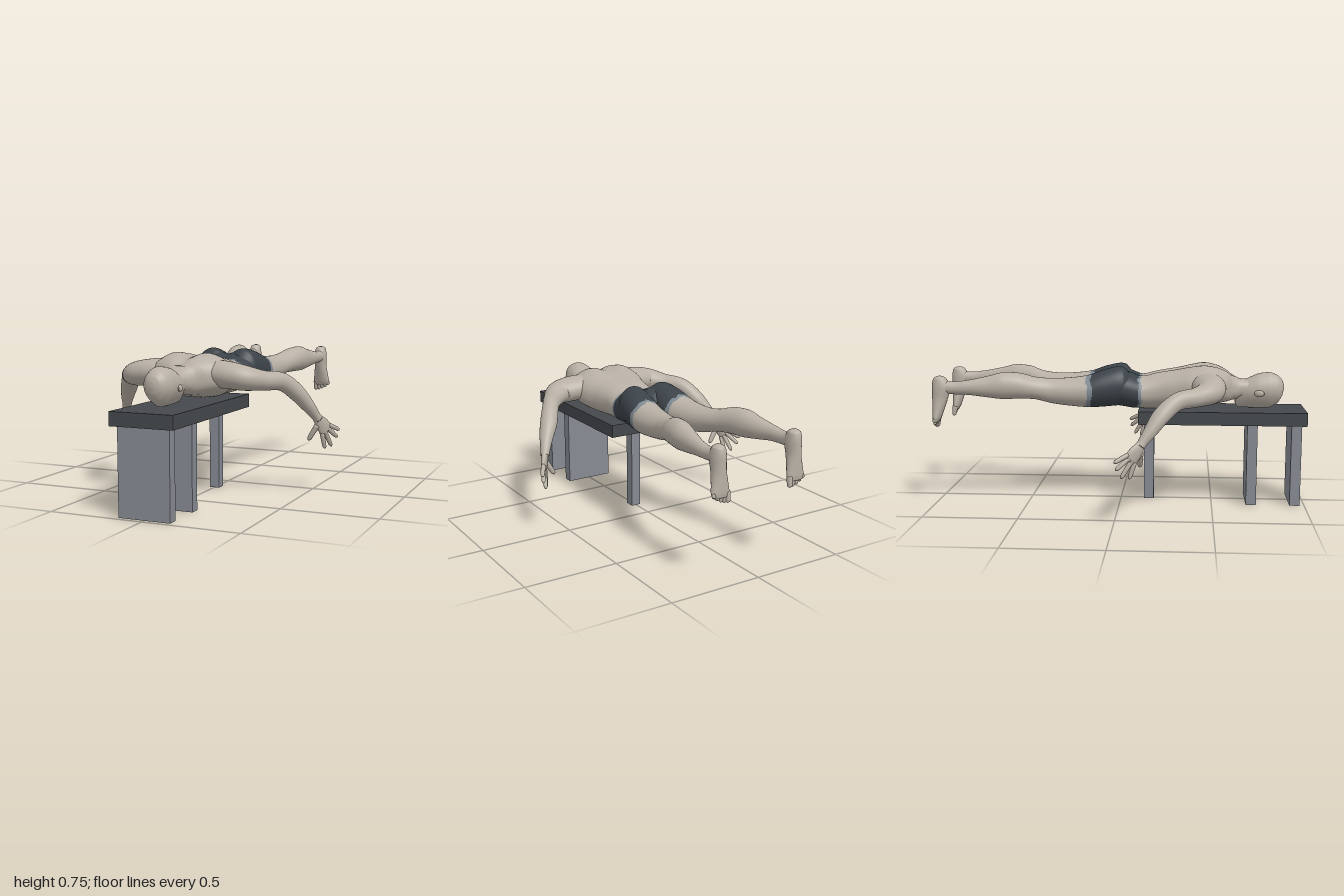
import * as THREE from 'three';

const mat = (name, color) => Object.assign(new THREE.MeshStandardMaterial({ color }), { name });
const V = (a) => new THREE.Vector3(...a);
const AXIS = [0, 0, -1];

// Smooth closed tube through sections [x, y, z, sideRadius, upRadius].
function loft(name, sections, mats, o = {}) {
  const { side = [1, 0, 0], axis, power = 2, seg = 32, steps = 8, shape, pick, mirror } = o;
  const centre = new THREE.CatmullRomCurve3(sections.map((s) => V(s)));
  const radii = new THREE.CatmullRomCurve3(sections.map((s) => new THREE.Vector3(s[3], s[4], 0)));
  const rings = (sections.length - 1) * steps;
  const pos = [], lists = mats.map(() => []);
  const soft = (v) => Math.sign(v) * Math.pow(Math.abs(v), 2 / power);
  for (let i = 0; i <= rings; i++) {
    const t = i / rings, c = centre.getPoint(t), r = radii.getPoint(t);
    const T = axis ? V(axis) : centre.getTangent(t);
    const S = V(side).addScaledVector(T, -V(side).dot(T)).normalize();
    const U = T.clone().cross(S);
    for (let j = 0; j < seg; j++) {
      const a = (j / seg) * Math.PI * 2;
      const p = c.clone().addScaledVector(S, soft(Math.cos(a)) * r.x).addScaledVector(U, soft(Math.sin(a)) * r.y);
      if (shape) shape(p, c);
      pos.push(p);
    }
  }
  const first = pos.push(centre.getPoint(0)) - 1, last = pos.push(centre.getPoint(1)) - 1;
  const tri = (a, b, c) => {
    const mid = pos[a].clone().add(pos[b]).add(pos[c]).divideScalar(3);
    lists[pick ? pick(mid) : 0].push(...(mirror ? [a, c, b] : [a, b, c]));
  };
  for (let j = 0; j < seg; j++) {
    const k = (j + 1) % seg, e = rings * seg;
    tri(first, k, j);
    tri(last, e + j, e + k);
    for (let i = 0; i < rings; i++) {
      const a = i * seg + j, b = i * seg + k;
      tri(a, b, a + seg);
      tri(b, b + seg, a + seg);
    }
  }
  const g = new THREE.BufferGeometry();
  if (mirror) pos.forEach((p) => { p.x *= -1; });
  g.setFromPoints(pos);
  g.setIndex(lists.flat());
  let start = 0;
  lists.forEach((l, m) => { g.addGroup(start, l.length, m); start += l.length; });
  g.computeVertexNormals();
  const mesh = new THREE.Mesh(g, mats.length > 1 ? mats : mats[0]);
  mesh.name = name;
  return mesh;
}

// Rounded finger or toe between two points
function digit(name, from, to, r, skin, mirror) {
  const a = V(from), b = V(to);
  const row = (t, k) => [...a.clone().lerp(b, t).toArray(), r * k, r * k];
  return loft(name, [row(0, 1), row(0.5, 0.95), row(0.88, 0.8), row(1, 0.25)], [skin],
    { side: [1, 0.1, 0.6], seg: 12, steps: 4, mirror });
}

export function createModel() {
  const model = new THREE.Group();
  model.name = 'figureOnBench';
  const skin = mat('skin', 0xb8b0a5), cloth = mat('shortsCloth', 0x3b4248), trim = mat('shortsTrim', 0x7f8a93);
  const top = mat('benchTop', 0x45484c), support = mat('benchSupport', 0x868a92);
  const colours = [skin, cloth, trim];

  // Bench
  const box = (name, m, w, h, d, y, z) => {
    const b = new THREE.Mesh(new THREE.BoxGeometry(w, h, d), m);
    b.name = name;
    b.position.set(0, y, z);
    model.add(b);
  };
  box('benchSeat', top, 0.336, 0.07, 0.9, 0.475, 0.55);
  box('frontPanel', support, 0.274, 0.44, 0.055, 0.22, 0.948);
  box('innerPanel', support, 0.274, 0.44, 0.055, 0.22, 0.713);
  box('rearPost', support, 0.055, 0.44, 0.055, 0.22, 0.155);

  // Torso with spine groove and shoulder blades; lower end is the waistband and shorts
  const bump = (v, w) => Math.exp(-((v / w) ** 2));
  const wave = (p) => 0.004 * Math.sin(p.x * 70) + 0.003 * Math.sin(p.x * 130 + 1);
  model.add(loft('torso', [
    [0, 0.622, 0.70, 0.062, 0.05], [0, 0.622, 0.645, 0.066, 0.056], [0, 0.628, 0.605, 0.088, 0.07],
    [0, 0.635, 0.575, 0.14, 0.085], [0, 0.64, 0.53, 0.195, 0.098], [0, 0.636, 0.46, 0.215, 0.11],
    [0, 0.628, 0.38, 0.2, 0.114], [0, 0.62, 0.3, 0.172, 0.11], [0, 0.612, 0.2, 0.153, 0.102],
    [0, 0.603, 0.115, 0.158, 0.092], [0, 0.613, 0.06, 0.168, 0.1], [0, 0.627, 0, 0.176, 0.104],
    [0, 0.622, -0.05, 0.165, 0.09], [0, 0.615, -0.085, 0.1, 0.06],
  ], colours, {
    axis: AXIS, power: 2.3, seg: 64,
    shape: (p, c) => {
      if (p.y > c.y) {
        const k = Math.min(1, (p.y - c.y) / 0.06);
        p.y -= 0.018 * k * bump(p.x, 0.035) * (p.z < 0.6 ? 1 : 0.3);
        p.y += 0.012 * k * bump(Math.abs(p.x) - 0.1, 0.05) * bump(p.z - 0.45, 0.08);
      }
      p.y = Math.max(p.y, 0.511);
    },
    pick: (p) => (p.z < 0.1 + wave(p) ? 1 : p.z < 0.115 + wave(p) ? 2 : 0),
  }));

  // Head, face down, narrowing towards the face
  model.add(loft('head', [
    [0, 0.628, 0.885, 0.012, 0.014], [0, 0.624, 0.877, 0.036, 0.042], [0, 0.617, 0.852, 0.062, 0.076],
    [0, 0.612, 0.80, 0.078, 0.097], [0, 0.608, 0.75, 0.08, 0.094], [0, 0.598, 0.70, 0.074, 0.083],
    [0, 0.588, 0.66, 0.062, 0.072], [0, 0.576, 0.635, 0.048, 0.058], [0, 0.57, 0.622, 0.02, 0.03],
  ], [skin], {
    axis: AXIS, power: 2.15,
    shape: (p) => { p.x *= 0.75 + 0.25 * THREE.MathUtils.smoothstep(p.y, 0.52, 0.62); },
  }));

  for (const mirror of [false, true]) {
    const s = mirror ? -1 : 1, word = mirror ? 'right' : 'left';
    const limb = new THREE.Group();
    limb.name = word + 'Limbs';
    model.add(limb);

    const ear = new THREE.Mesh(new THREE.SphereGeometry(1, 16, 12), skin);
    ear.name = word + 'Ear';
    ear.scale.set(0.01, 0.018, 0.028);
    ear.position.set(s * 0.08, 0.602, 0.748);
    ear.rotation.y = s * 0.25;
    limb.add(ear);

    // Leg, with the shorts on its upper part
    limb.add(loft(word + 'Leg', [
      [0.085, 0.625, 0.06, 0.06, 0.07], [0.088, 0.64, 0.02, 0.086, 0.1], [0.092, 0.638, -0.02, 0.092, 0.105],
      [0.1, 0.627, -0.09, 0.095, 0.1], [0.109, 0.612, -0.17, 0.092, 0.087], [0.117, 0.609, -0.27, 0.08, 0.076],
      [0.128, 0.615, -0.37, 0.067, 0.067], [0.148, 0.63, -0.45, 0.066, 0.06], [0.175, 0.645, -0.53, 0.066, 0.069],
      [0.192, 0.648, -0.61, 0.063, 0.072], [0.205, 0.643, -0.7, 0.05, 0.057], [0.22, 0.64, -0.8, 0.034, 0.04],
      [0.223, 0.637, -0.88, 0.028, 0.034], [0.222, 0.642, -0.94, 0.03, 0.036],
    ], colours, {
      axis: AXIS, mirror, seg: 40, steps: 9,
      pick: (p) => (p.z > -0.152 + wave(p) ? 1 : p.z > -0.177 + wave(p) ? 2 : 0),
    }));

    // Foot hanging toes down
    limb.add(loft(word + 'Foot', [
      [0.222, 0.7, -0.955, 0.012, 0.016], [0.222, 0.688, -0.955, 0.03, 0.034], [0.222, 0.64, -0.948, 0.037, 0.05],
      [0.222, 0.58, -0.956, 0.036, 0.042], [0.222, 0.52, -0.967, 0.044, 0.031],
      [0.223, 0.475, -0.975, 0.05, 0.022], [0.223, 0.452, -0.98, 0.044, 0.013],
    ], [skin], { axis: [0, -1, 0], mirror, seg: 24 }));
    for (let i = 0; i < 5; i++) {
      const x = 0.185 + i * 0.0195;
      limb.add(digit(word + 'Toe', [x, 0.475, -0.978], [x, 0.42 + i * i * 0.0022, -0.985],
        i ? 0.0105 : 0.015, skin, mirror));
    }

    // Arm
    limb.add(loft(word + 'Arm', [
      [0.1, 0.65, 0.46, 0.07, 0.06], [0.16, 0.65, 0.47, 0.09, 0.07], [0.23, 0.645, 0.48, 0.086, 0.068],
      [0.3, 0.635, 0.475, 0.074, 0.063], [0.37, 0.62, 0.41, 0.055, 0.05], [0.435, 0.607, 0.315, 0.045, 0.046],
      [0.487, 0.545, 0.237, 0.047, 0.043], [0.53, 0.475, 0.185, 0.036, 0.034],
      [0.558, 0.42, 0.145, 0.025, 0.025], [0.568, 0.4, 0.132, 0.024, 0.022],
    ], [skin], { side: [1, 0, 1], mirror }));

    // Hand with spread fingers
    limb.add(loft(word + 'Palm', [
      [0.555, 0.425, 0.15, 0.022, 0.02], [0.568, 0.4, 0.132, 0.028, 0.018],
      [0.584, 0.368, 0.108, 0.039, 0.016], [0.597, 0.342, 0.088, 0.039, 0.013], [0.602, 0.332, 0.08, 0.024, 0.007],
    ], [skin], { side: [-0.43, -0.69, 0.58], mirror, seg: 24 }));
    [
      ['IndexFinger', [0.582, 0.324, 0.107], [0.59, 0.24, 0.08]],
      ['MiddleFinger', [0.591, 0.338, 0.096], [0.613, 0.247, 0.04]],
      ['RingFinger', [0.6, 0.352, 0.084], [0.637, 0.293, 0.015]],
      ['LittleFinger', [0.606, 0.366, 0.075], [0.645, 0.332, 0.008]],
      ['Thumb', [0.565, 0.37, 0.135], [0.515, 0.286, 0.13]],
    ].forEach(([n, a, b]) => limb.add(digit(word + n, a, b, n === 'Thumb' ? 0.015 : 0.0125, skin, mirror)));
  }
  return model;
}
